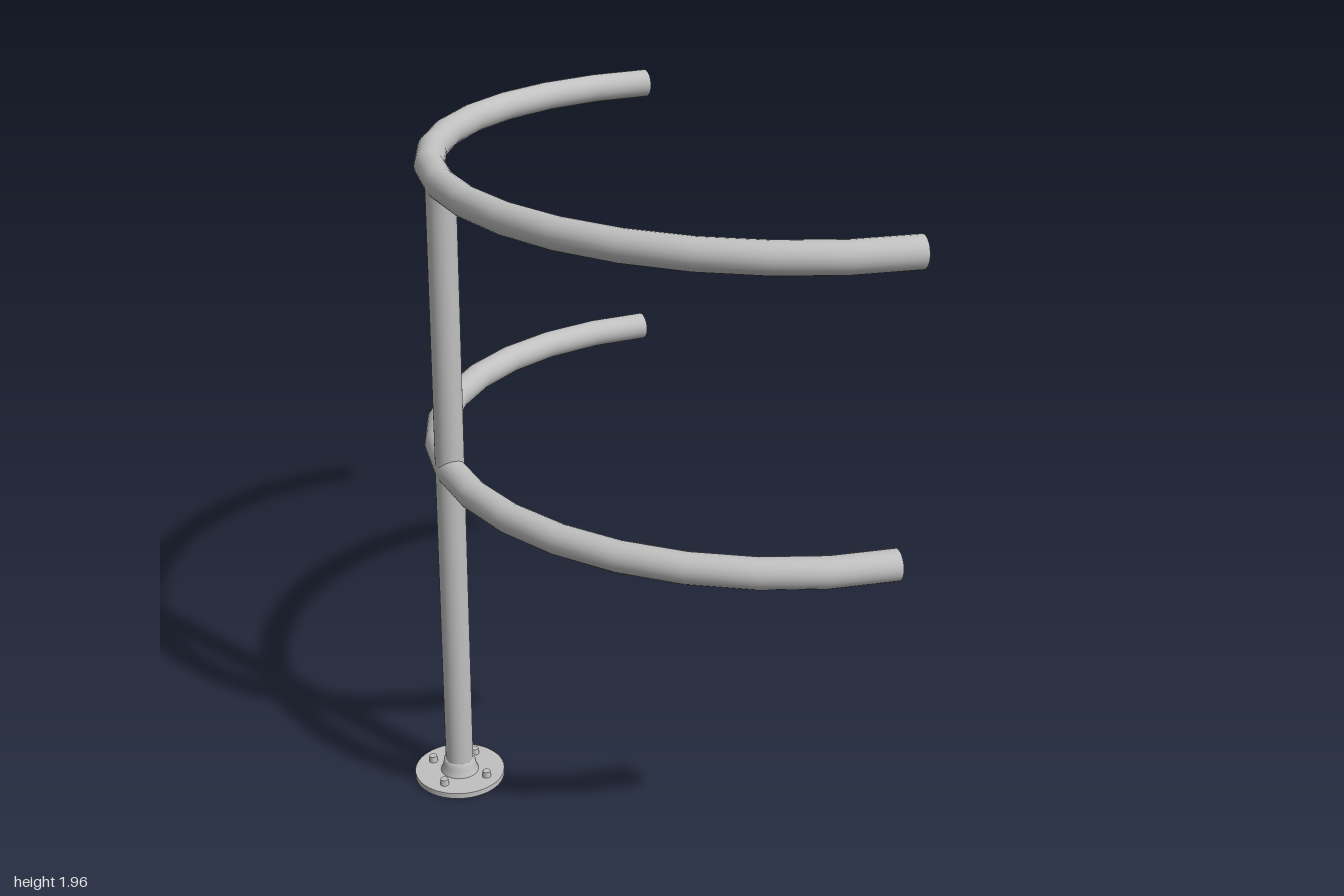
import * as THREE from 'three';

const POST_X = -0.412, PIPE_R = 0.044, RAIL_R = 0.956, RAIL_X = 0.543;

// Half-ring pipe, open at both ends, bulging towards -x
function railGeometry() {
  const segments = 16;
  const geo = new THREE.TorusGeometry(RAIL_R, PIPE_R, 24, segments, Math.PI);
  geo.rotateZ(Math.PI / 2);
  const p = geo.attributes.position;
  const tilt = Math.tan(Math.PI / segments / 2);
  // end cuts are square to the last straight segment
  for (let i = 0; i < p.count; i++) {
    if (Math.abs(p.getX(i)) < 0.001) p.setX(i, tilt * (RAIL_R - Math.abs(p.getY(i))));
  }
  return geo.rotateX(Math.PI / 2);
}

export function createModel() {
  const model = new THREE.Group();
  model.name = 'curvedRailing';
  const steel = new THREE.MeshStandardMaterial({ color: 0xc0c0c0, side: THREE.DoubleSide });
  steel.name = 'steel';

  const add = (name, geo, x, y, z = 0) => {
    const mesh = new THREE.Mesh(geo, steel);
    mesh.name = name;
    mesh.position.set(x, y, z);
    model.add(mesh);
  };

  // Rails
  add('topRail', railGeometry(), RAIL_X, 1.911);
  add('middleRail', railGeometry(), RAIL_X, 1.055);

  // Post, ending inside the top rail
  const postTop = 1.905;
  add('post', new THREE.CylinderGeometry(0.043, 0.043, postTop - 0.01, 32, 1, true), POST_X, (postTop + 0.01) / 2);

  // Round foot plate with a tapered collar
  add('footPlate', new THREE.CylinderGeometry(0.14, 0.14, 0.018, 48), POST_X, 0.009);
  const collar = [[0.06, 0.016], [0.056, 0.026], [0.051, 0.042], [0.049, 0.058], [0.043, 0.06]];
  add('collar', new THREE.LatheGeometry(collar.map(([r, y]) => new THREE.Vector2(r, y)), 32), POST_X, 0);

  // Four bolt heads
  for (const sx of [-1, 1]) {
    for (const sz of [-1, 1]) {
      add('bolt', new THREE.CylinderGeometry(0.012, 0.014, 0.02, 16), POST_X + sx * 0.068, 0.027, sz * 0.068);
    }
  }
  return model;
}
